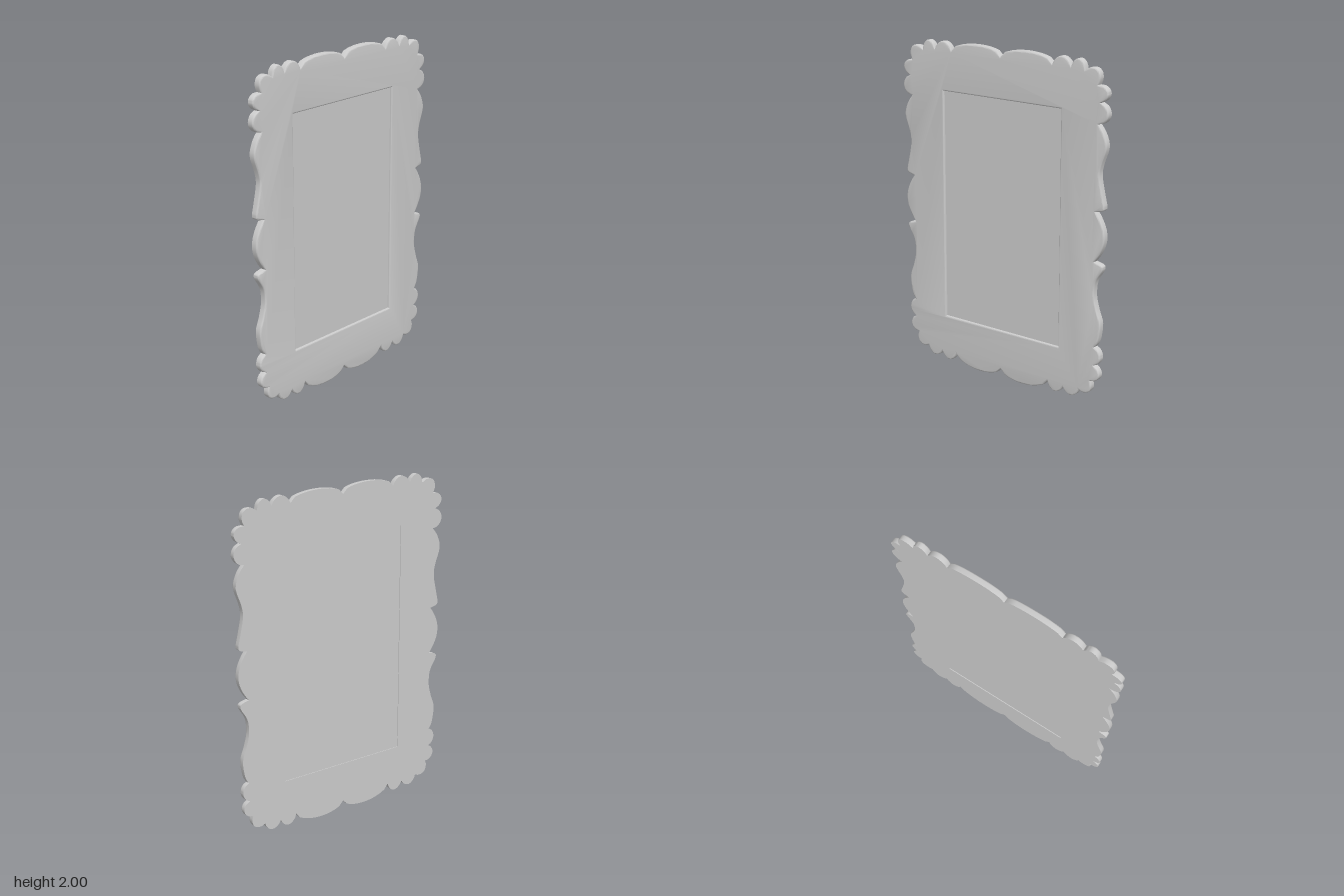
import * as THREE from 'three';
import { toCreasedNormals } from 'three/addons/utils/BufferGeometryUtils.js';

const THICK = 0.037, BEVEL = 0.009;
const HOLE = { x: 0.42, y0: 0.3, y1: 1.705 };
const START = new THREE.Vector2(0, 0.055);

// A rounded lobe bulges by height; a smaller power makes it squarer.
const lobe = (height, power) => Array.from({ length: 13 }, (_, i) =>
  new THREE.Vector2(i / 12, i % 12 ? height * Math.sin(Math.PI * i / 12) ** power : 0));

// A wavy stretch runs through a few (distance along, bulge) pairs.
const wave = (...pairs) => new THREE.SplineCurve(
  [[0, 0], ...pairs, [1, 0]].map(([s, out]) => new THREE.Vector2(s, out))).getPoints(32);

// Half outline from bottom centre to top centre: each scallop's end notch and its bulge
const lowerScallops = [
  [0.345, 0.07, lobe(0.0625, 0.5)],
  [0.455, 0.06, lobe(0.05, 0.65)],
  [0.565, 0.072, lobe(0.046, 0.65)],
  [0.645, 0.145, lobe(0.047, 0.6)],
  [0.665, 0.245, lobe(0.05, 0.5)],
  [0.668, 0.358, lobe(0.043, 0.55)],
  [0.655, 0.865, wave([0.08, 0.025], [0.28, 0.041], [0.44, 0.017], [0.6, 0], [0.77, 0.01], [0.91, 0.053], [0.97, 0.05])],
  [0.66, 1.155, lobe(0.063, 0.9)],
];
const upperScallops = [
  [0.665, 1.65, wave([0.025, 0.044], [0.07, 0.055], [0.2, 0.04], [0.41, 0.018], [0.55, 0.027], [0.75, 0.058], [0.9, 0.037])],
  [0.68, 1.77, lobe(0.057, 0.5)],
  [0.66, 1.865, lobe(0.056, 0.5)],
  [0.575, 1.938, lobe(0.06, 0.55)],
  [0.482, 1.948, lobe(0.053, 0.55)],
  [0.357, 1.948, lobe(0.05, 0.65)],
  [0, 1.95, lobe(0.051, 0.4)],
];

function outline() {
  const half = [START];
  let from = START;
  for (const [x, y, bulge] of [...lowerScallops, ...upperScallops]) {
    const to = new THREE.Vector2(x, y);
    const along = to.clone().sub(from);
    const outward = new THREE.Vector2(along.y, -along.x).normalize();
    for (const p of bulge.slice(1)) {
      half.push(from.clone().addScaledVector(along, p.x).addScaledVector(outward, p.y));
    }
    from = to;
  }
  const mirrored = half.slice(1, -1).reverse().map(p => new THREE.Vector2(-p.x, p.y));
  return [...half, ...mirrored];
}

export function createModel() {
  const group = new THREE.Group();
  group.name = 'pictureFrame';
  const material = new THREE.MeshStandardMaterial({ color: 0xcccccc });

  // Scalloped border with a rectangular opening
  const shape = new THREE.Shape(outline());
  const { x, y0, y1 } = HOLE;
  shape.holes.push(new THREE.Path([
    new THREE.Vector2(-x, y0), new THREE.Vector2(-x, y1),
    new THREE.Vector2(x, y1), new THREE.Vector2(x, y0),
  ]));
  const geo = new THREE.ExtrudeGeometry(shape, {
    depth: THICK - BEVEL, bevelThickness: BEVEL,
    bevelSize: BEVEL, bevelOffset: -BEVEL, bevelSegments: 3,
  });
  // Only the front edge is rounded: press the rear bevel flat
  const pos = geo.attributes.position;
  for (let i = 0; i < pos.count; i++) pos.setZ(i, Math.max(pos.getZ(i), 0));
  geo.translate(0, 0, -THICK / 2);
  const border = new THREE.Mesh(toCreasedNormals(geo, 0.7), material);
  border.name = 'scallopedBorder';
  group.add(border);

  // Recessed panel filling the opening
  const panel = new THREE.Mesh(new THREE.BoxGeometry(2 * x + 0.004, y1 - y0 + 0.004, 0.018), material);
  panel.name = 'picturePanel';
  panel.position.set(0, (y0 + y1) / 2, -0.005);
  group.add(panel);

  return group;
}
